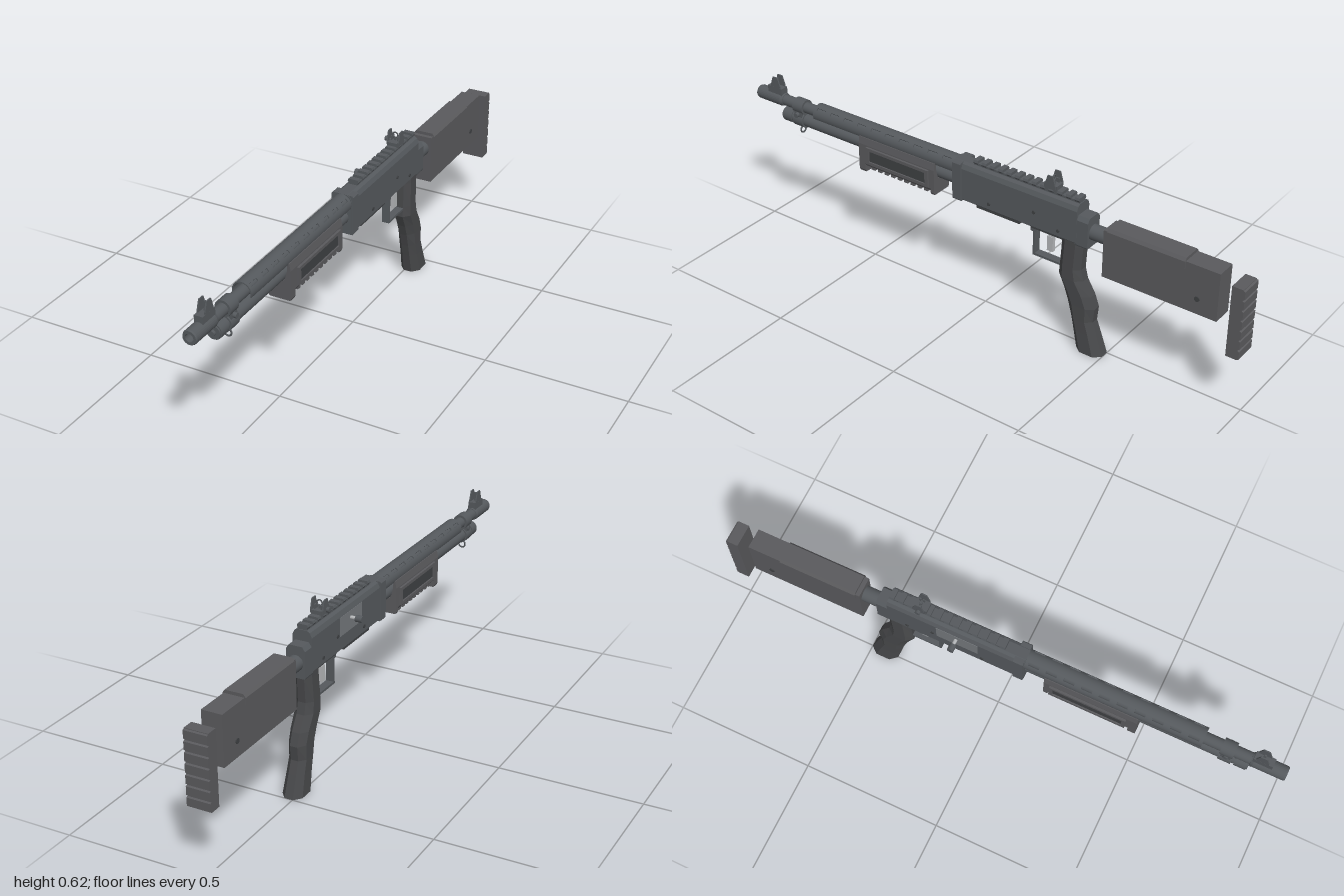
import * as THREE from 'three';

const mat = (color) => new THREE.MeshStandardMaterial({ color, flatShading: false });
const metal = mat(0x55595d), dark = mat(0x3f4143), poly = mat(0x5a5a5d), gripMat = mat(0x48494b), light = mat(0xb4b6b8);
gripMat.flatShading = true;

export function createModel() {
  const root = new THREE.Group();
  root.name = 'model';
  const gun = new THREE.Group();
  gun.name = 'body';
  gun.position.x = 0.014; // side handle shifts the centre line
  root.add(gun);

  const add = (name, geo, m = metal, x = 0, y = 0, z = 0) => {
    const mesh = new THREE.Mesh(geo, m);
    mesh.name = name;
    mesh.position.set(x, y, z);
    gun.add(mesh);
    return mesh;
  };
  // box given by half width (or x range), y range and z range
  const box = (name, x0, x1, y0, y1, z0, z1, m = metal) =>
    add(name, new THREE.BoxGeometry(x1 - x0, y1 - y0, z1 - z0), m, (x0 + x1) / 2, (y0 + y1) / 2, (z0 + z1) / 2);
  const wide = (name, hw, ...rest) => box(name, -hw, hw, ...rest);
  const rod = (name, r, y, z0, z1, m = metal, seg = 24) =>
    add(name, new THREE.CylinderGeometry(r, r, z1 - z0, seg).rotateX(Math.PI / 2), m, 0, y, (z0 + z1) / 2);
  const pin = (name, r, x0, x1, y, z, m = metal) =>
    add(name, new THREE.CylinderGeometry(r, r, x1 - x0, 16).rotateZ(Math.PI / 2), m, (x0 + x1) / 2, y, z);
  // extrude an x-y profile along z
  const shapeOf = (pts) => new THREE.Shape(pts.map((p) => new THREE.Vector2(...p)));
  const prism = (name, pts, z0, z1, m = metal) =>
    add(name, new THREE.ExtrudeGeometry(shapeOf(pts), { depth: z1 - z0, bevelEnabled: false }), m, 0, 0, z0);
  // extrude a z-y profile across x
  const sidePlate = (name, shape, x0, x1, m = metal) =>
    add(name, new THREE.ExtrudeGeometry(shape, { depth: x1 - x0, bevelEnabled: false }).rotateY(-Math.PI / 2), m, x1);
  const mirrored = (half) => [...half, ...half.map(([x, y]) => [-x, y]).reverse()];

  // Barrel with open bore
  const BY = 0.518, MY = 0.468;
  rod('barrel', 0.02, BY, 0.08, 0.9);
  const bore = [[0, 0.9], [0.014, 0.9], [0.014, 1], [0.023, 1], [0.025, 0.995], [0.025, 0.89], [0.022, 0.88], [0.0195, 0.88]]
    .map((p) => new THREE.Vector2(...p));
  const muzzle = add('muzzle', new THREE.LatheGeometry(bore.reverse(), 28).rotateX(Math.PI / 2), metal, 0, BY);
  muzzle.material = mat(0x55595d);
  muzzle.material.side = THREE.DoubleSide;
  muzzle.material.flatShading = true;

  // Magazine tube and its cap
  rod('magazineTube', 0.0235, MY, 0.08, 0.88);
  rod('magazineCap', 0.027, MY, 0.835, 0.875);
  rod('magazineCapButton', 0.01, MY, 0.87, 0.89);

  // Vented heat shield: arc strips with two rows of slots
  const arc = (a0, a1, z0, z1) => {
    const s = new THREE.Shape();
    s.absarc(0, 0, 0.034, a0, a1, false);
    s.absarc(0, 0, 0.03, a1, a0, true);
    const g = new THREE.ExtrudeGeometry(s, { depth: z1 - z0, bevelEnabled: false, curveSegments: 12 });
    add('heatShield', g, metal, 0, BY, z0);
  };
  const up = Math.PI / 2, inner = 0.62, outer = 0.95;
  arc(up - inner, up + inner, 0.1, 0.72);
  const slots = 10, pitch = 0.62 / slots;
  for (const s of [-1, 1]) {
    const strip = (a, b, z0, z1) => arc(up + Math.min(s * a, s * b), up + Math.max(s * a, s * b), z0, z1);
    strip(outer, 1.95, 0.1, 0.72);
    for (let i = 0; i <= slots; i++) {
      const z = 0.1 + i * pitch;
      strip(inner, outer, Math.max(0.1, z - 0.012), Math.min(0.72, z + 0.012));
    }
  }

  // Barrel clamp, sling ring and clamp screw
  rod('barrelClamp', 0.028, BY, 0.78, 0.825);
  rod('magazineClamp', 0.029, MY, 0.78, 0.825);
  wide('clampWaist', 0.024, 0.475, 0.512, 0.785, 0.82);
  pin('clampScrew', 0.009, -0.028, 0.036, 0.493, 0.803);
  add('slingRing', new THREE.TorusGeometry(0.0125, 0.003, 8, 24), metal, 0, 0.426, 0.803);

  // Front sight: base, post and two ears
  wide('frontSightBase', 0.015, 0.535, 0.563, 0.885, 0.95);
  wide('frontSightPost', 0.0025, 0.56, 0.595, 0.91, 0.918);
  const ear = (name, x, y0, y1, z0, z1) => {
    const d = (z1 - z0) * 0.25;
    sidePlate(name, shapeOf([[z0, y0], [z1, y0], [z1, y0 + 0.012], [z1 - d, y1], [z0 + d, y1], [z0, y0 + 0.012]]), x - 0.0022, x + 0.0022);
  };
  for (const s of [-1, 1]) ear('frontSightEar', s * 0.0125, 0.558, 0.602, 0.892, 0.935);

  // Pump fore-end: cradle, end lips, side frames and ribs
  prism('pump', mirrored([[0.036, 0.403], [0.041, 0.412], [0.041, 0.485], [0.036, 0.51], [0.03, 0.51], [0.027, 0.48], [0.016, 0.447]]), 0.175, 0.505, poly);
  for (const [z0, z1, y0] of [[0.478, 0.505, 0.378], [0.175, 0.19, 0.39]])
    prism('pumpLip', mirrored([[0.037, y0], [0.041, y0 + 0.008], [0.041, 0.42]]), z0, z1, poly);
  for (let i = 0; i < 9; i++) wide('pumpRib', 0.036, 0.393, 0.408, 0.207 + i * 0.029, 0.223 + i * 0.029, poly);
  const frame = shapeOf([[0.197, 0.417], [0.468, 0.417], [0.468, 0.481], [0.197, 0.481]]);
  frame.holes.push(new THREE.Path([[0.21, 0.428], [0.21, 0.47], [0.455, 0.47], [0.455, 0.428]].map((p) => new THREE.Vector2(...p))));
  for (const s of [-1, 1]) {
    sidePlate('pumpSideFrame', frame, s * 0.044 - 0.005, s * 0.044 + 0.005, poly);
    box('pumpSideInset', s * 0.042 - 0.002, s * 0.042 + 0.002, 0.427, 0.471, 0.208, 0.457, dark);
  }

  // Receiver, front collar and rear block
  const receiver = mirrored([[0.03, 0.41], [0.035, 0.415], [0.035, 0.53], [0.028, 0.546], [0.018, 0.552]]);
  prism('receiver', receiver, -0.395, 0.1);
  prism('receiverCollar', mirrored([[0.036, 0.407], [0.04, 0.412], [0.04, 0.546], [0.036, 0.551]]), 0.063, 0.098);
  prism('receiverRear', mirrored([[0.032, 0.405], [0.034, 0.41], [0.034, 0.5], [0.024, 0.515]]), -0.437, -0.39);
  for (const [y, z] of [[0.435, -0.05], [0.435, -0.325], [0.47, -0.23]]) pin('receiverPin', 0.006, -0.038, 0.038, y, z, dark);

  // Ejection port and side handle on the right
  box('ejectionPort', -0.0365, -0.03, 0.462, 0.528, -0.215, -0.065, light).material = mat(0x74787c);
  pin('handleRod', 0.006, -0.058, -0.03, 0.504, -0.143, light);
  pin('handleKnob', 0.0115, -0.08, -0.056, 0.504, -0.143);

  // Loading gate under the receiver
  wide('loadingGate', 0.022, 0.394, 0.412, -0.165, 0.01, dark);

  // Top rail with teeth
  wide('railBase', 0.016, 0.548, 0.56, -0.392, 0.025);
  const teeth = 13;
  for (let i = 0; i < teeth; i++) {
    const z = 0.025 - i * (0.417 - 0.018) / (teeth - 1);
    prism('railTooth', mirrored([[0.016, 0.555], [0.02, 0.562], [0.017, 0.57]]), z - 0.018, z);
  }

  // Rear sight: base, ears, ring and knob
  wide('rearSightBase', 0.018, 0.56, 0.582, -0.305, -0.255);
  for (const s of [-1, 1]) {
    ear('rearSightEar', s * 0.0215, 0.57, 0.617, -0.302, -0.262);
    box('rearSightInnerEar', s * 0.012 - 0.002, s * 0.012 + 0.002, 0.58, 0.597, -0.295, -0.275);
  }
  add('rearSightRing', new THREE.TorusGeometry(0.0095, 0.0025, 8, 24), metal, 0, 0.601, -0.282);
  wide('rearSightStem', 0.003, 0.58, 0.592, -0.285, -0.279);
  pin('rearSightKnob', 0.009, -0.036, -0.026, 0.582, -0.28);
  pin('rearSightKnobShaft', 0.004, -0.028, -0.015, 0.582, -0.28);

  // Trigger and guard
  wide('guardFront', 0.014, 0.295, 0.412, -0.222, -0.214);
  wide('guardBottom', 0.014, 0.292, 0.3, -0.335, -0.214);
  wide('guardLug', 0.014, 0.382, 0.398, -0.228, -0.203);
  wide('triggerHousing', 0.02, 0.397, 0.412, -0.385, -0.21, dark);
  wide('triggerStem', 0.005, 0.37, 0.4, -0.288, -0.272, light);
  wide('trigger', 0.007, 0.325, 0.38, -0.288, -0.265, light);

  // Pistol grip: octagonal sections [y, front z, back z, half width]
  const sections = [[0, -0.398, -0.5, 0.037], [0.075, -0.382, -0.474, 0.033], [0.12, -0.372, -0.457, 0.032], [0.172, -0.358, -0.462, 0.032],
    [0.215, -0.343, -0.446, 0.033], [0.265, -0.32, -0.415, 0.034], [0.305, -0.323, -0.405, 0.033], [0.392, -0.328, -0.41, 0.031], [0.412, -0.328, -0.41, 0.031]];
  const octagon = [[0.42, 1], [1, 0.5], [1, -0.5], [0.42, -1], [-0.42, -1], [-1, -0.5], [-1, 0.5], [-0.42, 1]];
  const pos = [], index = [], n = 8;
  for (const [y, f, b, w] of sections)
    for (const [u, v] of octagon) pos.push(u * w, y, (f + b) / 2 + v * (f - b) / 2);
  for (let r = 0; r < sections.length - 1; r++)
    for (let i = 0; i < n; i++) {
      const a = r * n + i, b = r * n + (i + 1) % n;
      index.push(a, a + n, b, b, a + n, b + n);
    }
  const top = (sections.length - 1) * n;
  for (let i = 1; i < n - 1; i++) index.push(0, i, i + 1, top, top + i + 1, top + i);
  // wind the faces outwards
  for (let i = 0; i < (sections.length - 1) * n * 6; i += 3) [index[i + 1], index[i + 2]] = [index[i + 2], index[i + 1]];
  for (let i = (sections.length - 1) * n * 6; i < index.length; i += 3) [index[i + 1], index[i + 2]] = [index[i + 2], index[i + 1]];
  const grip = new THREE.BufferGeometry();
  grip.setAttribute('position', new THREE.Float32BufferAttribute(pos, 3));
  grip.setIndex(index);
  grip.computeVertexNormals();
  gripMat.side = THREE.DoubleSide;
  add('pistolGrip', grip, gripMat);

  // Stock tube, stock, cheek rest and screw
  rod('stockTube', 0.027, 0.457, -0.52, -0.43);
  wide('stock', 0.036, 0.33, 0.503, -0.912, -0.497, poly);
  prism('cheekRest', mirrored([[0.04, 0.478], [0.04, 0.503], [0.032, 0.514]]), -0.792, -0.512, poly);
  pin('stockScrew', 0.009, -0.039, 0.039, 0.385, -0.84, dark);

  // Butt pad with slanted grooves on its back
  wide('buttPad', 0.041, 0.225, 0.482, -0.994, -0.955, poly);
  for (let i = 0; i < 7; i++) {
    const y = 0.225 + i * 0.0367, h = 0.0317;
    sidePlate('buttPadRib', shapeOf([[-0.99, y], [-0.99, y + h + 0.005], [-1, y + h], [-1, y + 0.004]]), -0.041, 0.041, poly);
  }
  return root;
}
